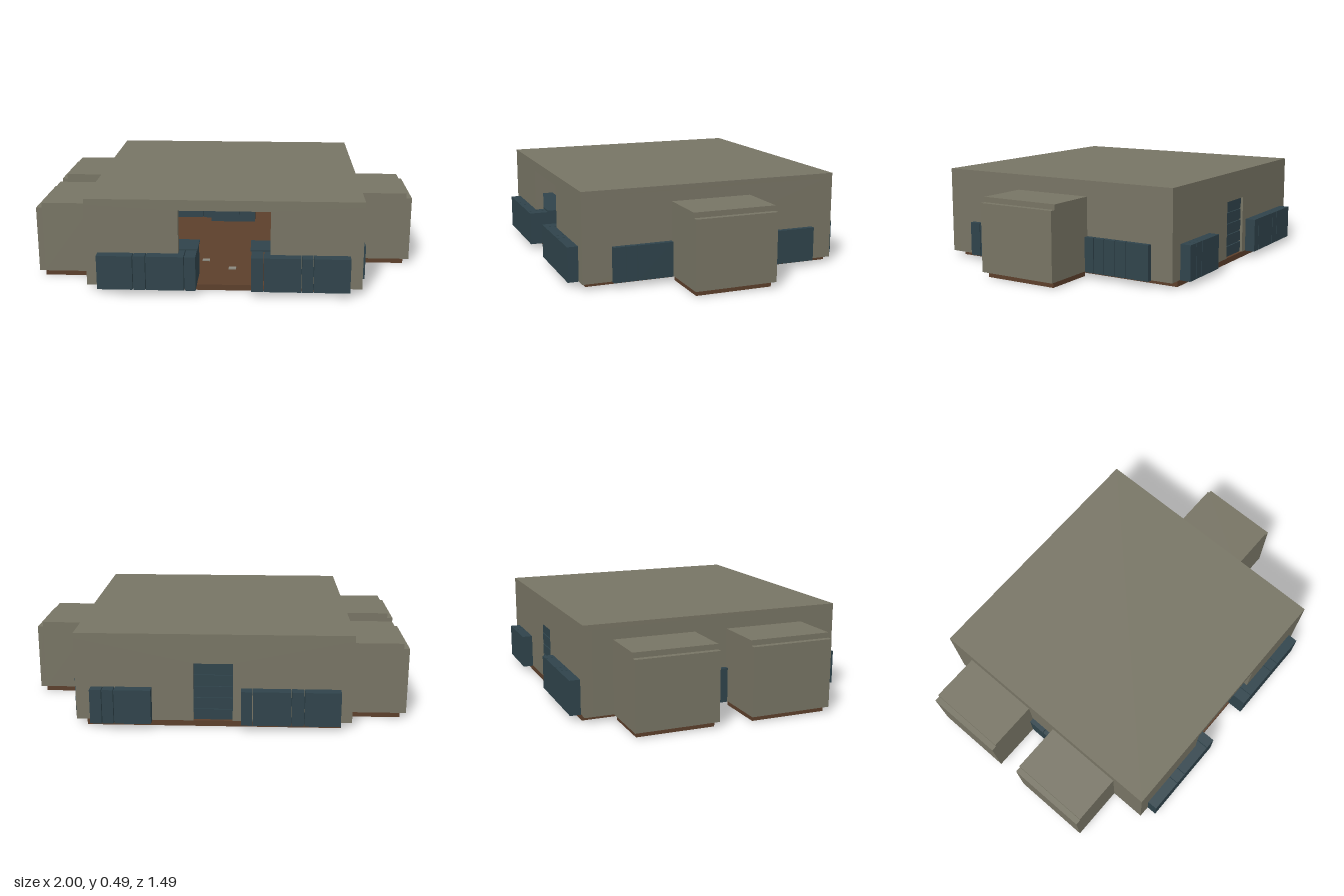
import * as THREE from 'three';

export function createModel() {
  const model = new THREE.Group();
  const mat = (name, color) => {
    const m = new THREE.MeshStandardMaterial({ color });
    m.name = name;
    return m;
  };
  const wallMat = mat('olive wall', 0x777464);
  const blueMat = mat('cabinet blue', 0x2f434b);
  const brownMat = mat('floor brown', 0x5c3f2b);
  const greyMat = mat('pale grey', 0x8c8a80);

  // Box given by its limits on each axis
  const box = (name, m, x0, x1, y0, y1, z0, z1, parent = model) => {
    const mesh = new THREE.Mesh(new THREE.BoxGeometry(x1 - x0, y1 - y0, z1 - z0), m);
    mesh.position.set((x0 + x1) / 2, (y0 + y1) / 2, (z0 + z1) / 2);
    mesh.name = name;
    parent.add(mesh);
    return mesh;
  };

  // Wall with a doorway open at the bottom
  const doorWall = (name, half, top, z) => {
    const s = new THREE.Shape([
      [-0.705, 0.03], [-half, 0.03], [-half, top], [half, top],
      [half, 0.03], [0.7, 0.03], [0.7, 0.46], [-0.705, 0.46],
    ].map(([x, y]) => new THREE.Vector2(x, y)));
    const mesh = new THREE.Mesh(new THREE.ExtrudeGeometry(s, { depth: 0.045, bevelEnabled: false }), wallMat);
    mesh.position.z = z;
    mesh.name = name;
    model.add(mesh);
  };

  // Main shell
  box('mainFloor', brownMat, -0.65, 0.645, 0, 0.03, -0.688, 0.66);
  box('roof', wallMat, -0.705, 0.7, 0.46, 0.488, -0.69, 0.69);
  box('rightWall', wallMat, -0.705, -0.66, 0.03, 0.46, -0.645, 0.645);
  box('leftWall', wallMat, 0.655, 0.7, 0.03, 0.46, -0.645, 0.645);
  doorWall('frontWall', 0.233, 0.433, 0.645);
  doorWall('backWall', 0.1, 0.335, -0.69);

  // Side bays, each with an end panel that is a little lower than its roof
  const bay = (name, side, z0, z1) => {
    const g = new THREE.Group();
    g.name = name;
    model.add(g);
    const span = (a, b) => (side > 0 ? [a, b] : [-b, -a]);
    box('bayBody', wallMat, ...span(0.69, 0.97), 0.03, 0.407, z0, z1, g);
    box('bayEndPanel', wallMat, ...span(0.97, 1), 0.03, 0.38, z0, z1, g);
    box('bayFloor', brownMat, ...span(0.702, 0.97), 0, 0.03, z0 + 0.015, z1 - 0.015, g);
  };
  bay('leftBay', 1, -0.205, 0.225);
  bay('rightRearBay', -1, -0.54, -0.11);
  bay('rightFrontBay', -1, 0.065, 0.495);

  // Cabinet rows pass through the walls; cuts are the joints between units
  const cabinets = (name, axis, cuts, d0, d1) => {
    const g = new THREE.Group();
    g.name = name;
    model.add(g);
    for (let i = 0; i < cuts.length - 1; i++) {
      const a = cuts[i] + 0.002, b = cuts[i + 1] - 0.002;
      if (axis === 'x') box('cabinet', blueMat, a, b, 0.028, 0.207, d0, d1, g);
      else box('cabinet', blueMat, d0, d1, 0.028, 0.207, a, b, g);
    }
  };
  const longRow = [-0.645, -0.46, -0.395, -0.2, -0.14];
  cabinets('frontRightCabinets', 'x', longRow, 0.5, 0.745);
  cabinets('frontLeftCabinets', 'x', [0.135, 0.2, 0.39, 0.45, 0.637], 0.5, 0.745);
  cabinets('backRightCabinets', 'x', longRow, -0.745, -0.5);
  cabinets('backLeftCabinets', 'x', [0.31, 0.5, 0.56, 0.623], -0.745, -0.5);
  cabinets('leftRearCabinets', 'z', [-0.575, -0.445, -0.385, -0.32, -0.26, -0.205], 0.48, 0.727);
  cabinets('leftFrontCabinets', 'z', [0.225, 0.415, 0.475, 0.54], 0.48, 0.727);
  cabinets('rightCabinets', 'z', [-0.11, -0.01, 0.065], -0.73, -0.48);

  // Counters inside the front opening
  box('rightCounter', blueMat, -0.63, -0.138, 0.207, 0.216, 0.49, 0.643);
  box('leftCounter', blueMat, 0.132, 0.63, 0.207, 0.216, 0.49, 0.643);

  // Back door: a recessed panel with horizontal joints and an inner frame
  box('doorCore', blueMat, -0.1, 0.1, 0.03, 0.335, -0.67, -0.66);
  for (let i = 0; i < 5; i++) {
    const y = 0.03 + i * 0.061;
    box('doorSlat', blueMat, -0.098, 0.098, y + 0.003, y + 0.058, -0.678, -0.657);
  }
  for (const s of [-1, 1]) {
    box('doorFrameSide', brownMat, s * 0.104 - 0.007, s * 0.104 + 0.007, 0.03, 0.335, -0.65, -0.635);
  }
  box('doorFrameTop', brownMat, -0.111, 0.111, 0.325, 0.338, -0.65, -0.635);

  // Low furniture at the back of the room
  box('bench', blueMat, -0.14, 0.035, 0.03, 0.132, -0.56, -0.42);
  box('sideUnit', blueMat, 0.038, 0.1, 0.03, 0.16, -0.56, -0.42);
  box('lowUnit', blueMat, 0.1, 0.135, 0.03, 0.132, -0.56, -0.42);

  // Small floor plates
  for (const [x, z] of [[-0.12, 0.3], [0.03, 0.42]]) {
    box('floorPlate', greyMat, x - 0.02, x + 0.02, 0.03, 0.036, z - 0.015, z + 0.015);
  }
  return model;
}
